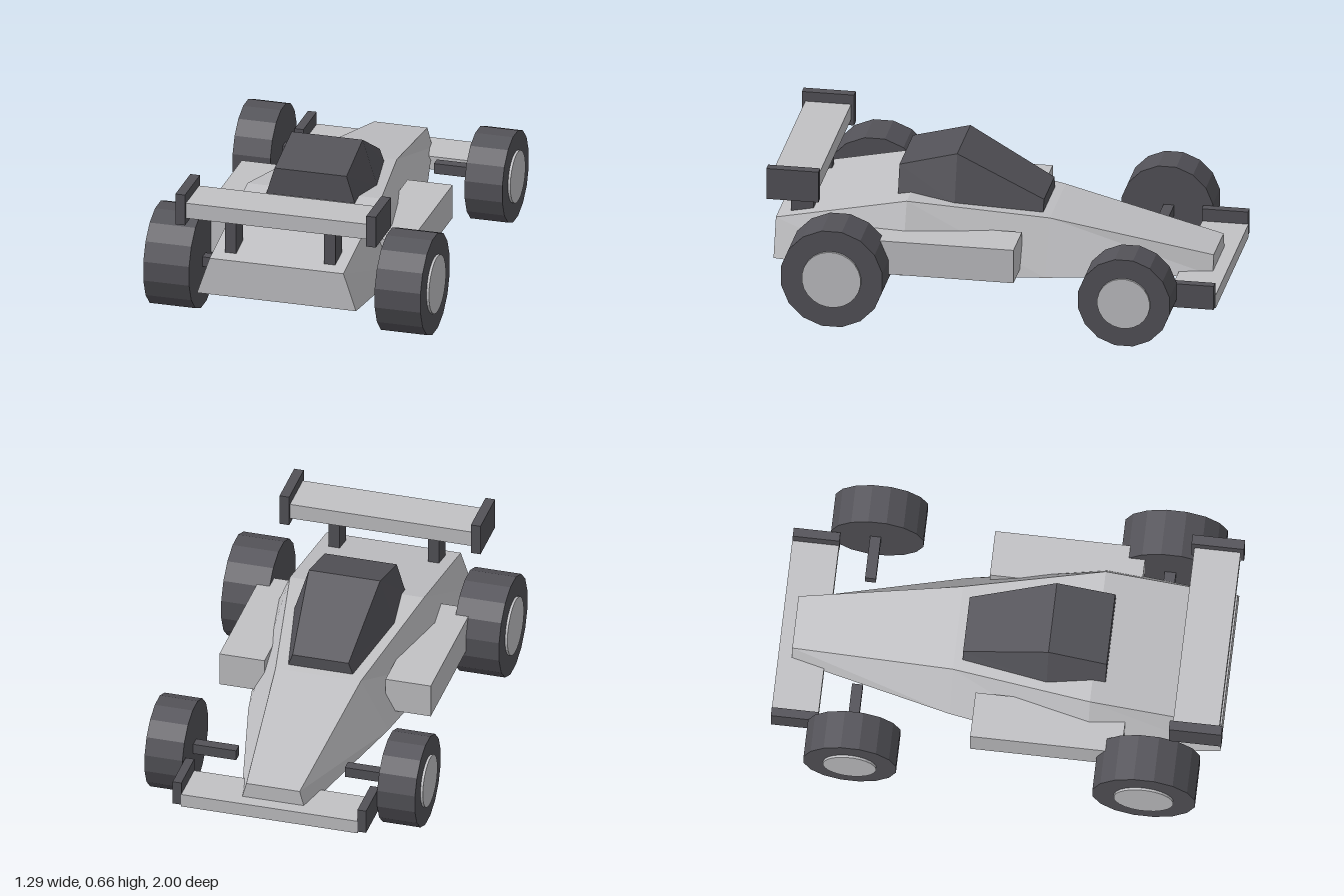
import * as THREE from 'three';

export function createModel() {
  const car = new THREE.Group();
  car.name = 'openWheelRaceCar';

  const lightGrey = new THREE.MeshStandardMaterial({ color: 0xc1c1c4 });
  lightGrey.name = 'lightGrey';
  lightGrey.flatShading = true;
  const darkGrey = new THREE.MeshStandardMaterial({ color: 0x535258 });
  darkGrey.name = 'darkGrey';
  darkGrey.flatShading = true;

  function add(name, geometry, material, x = 0, y = 0, z = 0) {
    const mesh = new THREE.Mesh(geometry, material);
    mesh.name = name;
    mesh.position.set(x, y, z);
    car.add(mesh);
    return mesh;
  }

  // Box given by its extents on each axis
  function block(name, material, [x0, x1], [y0, y1], [z0, z1]) {
    return add(name, new THREE.BoxGeometry(x1 - x0, y1 - y0, z1 - z0), material,
      (x0 + x1) / 2, (y0 + y1) / 2, (z0 + z1) / 2);
  }

  // Trapezoid sections [z, topHalfWidth, topY, bottomHalfWidth, bottomY], rising in z
  function loft(sections) {
    const positions = [];
    const index = [];
    for (const [z, t, ty, b, by] of sections) {
      positions.push(-b, by, z, b, by, z, t, ty, z, -t, ty, z);
    }
    for (let s = 0; s < sections.length - 1; s++) {
      for (let k = 0; k < 4; k++) {
        const n = (k + 1) % 4;
        const a = s * 4 + k, b = s * 4 + n, c = b + 4, d = a + 4;
        index.push(a, b, c, a, c, d);
      }
    }
    const e = (sections.length - 1) * 4;
    index.push(e, e + 1, e + 2, e, e + 2, e + 3, 0, 2, 1, 0, 3, 2);
    const indexed = new THREE.BufferGeometry();
    indexed.setAttribute('position', new THREE.Float32BufferAttribute(positions, 3));
    indexed.setIndex(index);
    const geometry = indexed.toNonIndexed();
    geometry.computeVertexNormals();
    return geometry;
  }

  // Tapered body, nose toward -z
  add('body', loft([
    [-0.94, 0.122, 0.25, 0.146, 0.16],
    [-0.22, 0.195, 0.402, 0.32, 0.168],
    [0.4, 0.307, 0.482, 0.43, 0.178],
    [0.985, 0.307, 0.362, 0.365, 0.19],
  ]), lightGrey);

  // Canopy
  add('canopy', loft([
    [-0.182, 0.128, 0.46, 0.15, 0.4],
    [0.2, 0.163, 0.664, 0.23, 0.45],
    [0.458, 0.165, 0.595, 0.206, 0.46],
  ]), darkGrey);

  // Wings
  block('rearWing', lightGrey, [-0.417, 0.417], [0.54, 0.612], [0.78, 0.985]);
  block('frontWing', lightGrey, [-0.404, 0.404], [0.118, 0.18], [-1, -0.793]);

  // Cylinder lying along x with a flat facet at the bottom
  function disc(apothem, width, sides) {
    return new THREE.CylinderGeometry(apothem / Math.cos(Math.PI / sides),
      apothem / Math.cos(Math.PI / sides), width, sides)
      .rotateY(Math.PI / sides).rotateZ(Math.PI / 2);
  }

  function wheel(name, side, z, radius, inner, outer, hubRadius, hubOut) {
    add(name + 'Tyre', disc(radius, outer - inner, 16), darkGrey, side * (inner + outer) / 2, radius, z);
    const hubIn = outer - 0.02;
    add(name + 'Hub', disc(hubRadius, hubOut - hubIn, 24), lightGrey, side * (hubIn + hubOut) / 2, radius, z);
  }

  // Parts repeated on both sides
  for (const side of [1, -1]) {
    const prefix = side > 0 ? 'left' : 'right';
    const span = (a, b) => (side > 0 ? [a, b] : [-b, -a]);

    wheel(prefix + 'RearWheel', side, 0.676, 0.2265, 0.426, 0.636, 0.131, 0.647);
    wheel(prefix + 'FrontWheel', side, -0.628, 0.2045, 0.446, 0.619, 0.117, 0.63);

    block(prefix + 'RearAxle', darkGrey, span(0.3, 0.44), [0.19, 0.236], [0.647, 0.697]);
    block(prefix + 'FrontAxle', darkGrey, span(0.249, 0.46), [0.18, 0.228], [-0.66, -0.612]);

    block(prefix + 'SidePod', lightGrey, span(0.277, 0.484), [0.203, 0.36], [-0.11, 0.56]);

    block(prefix + 'RearWingPost', darkGrey, span(0.202, 0.253), [0.36, 0.545], [0.826, 0.928]);
    block(prefix + 'RearWingEndPlate', darkGrey, span(0.416, 0.46), [0.512, 0.657], [0.767, 1]);
    block(prefix + 'FrontWingEndPlate', darkGrey, span(0.403, 0.443), [0.126, 0.238], [-0.998, -0.791]);
  }

  return car;
}
